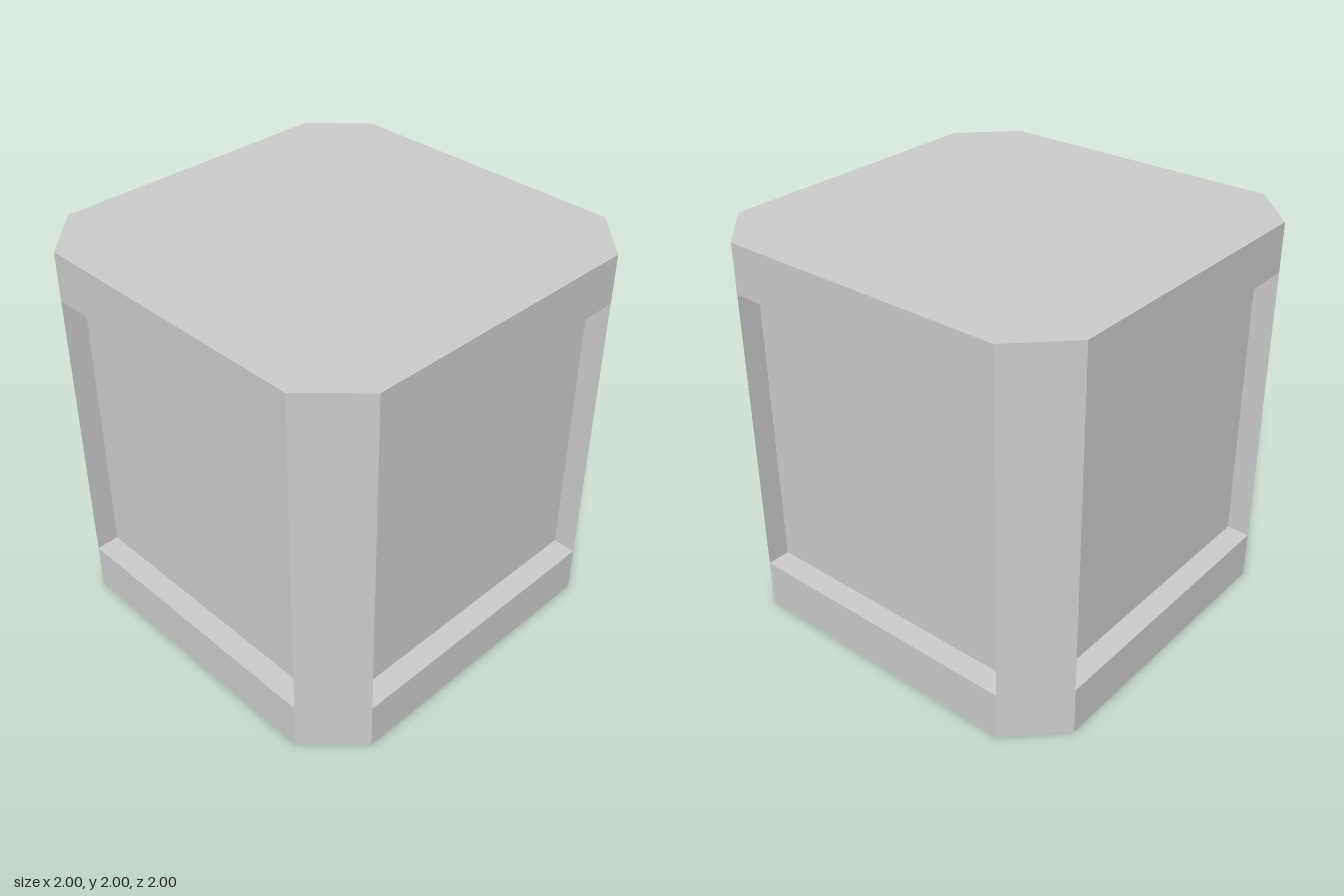
import * as THREE from 'three';

const HALF = 1;        // half of the block's width
const INNER = 0.75;    // half-width of the flat sides between chamfers
const RAIL = 0.25;     // height of the top and bottom rails
const DEPTH = 0.12;    // how far the side panels are sunk

export function createModel() {
  const model = new THREE.Group();
  model.name = 'panelledBlock';
  const grey = new THREE.MeshStandardMaterial({ color: 0xcccccc });
  grey.name = 'plain grey';

  const add = (parent, name, geometry) => {
    const mesh = new THREE.Mesh(geometry, grey);
    mesh.name = name;
    parent.add(mesh);
    return mesh;
  };

  // Octagonal lid and base
  const octagon = new THREE.Shape([
    [INNER, -HALF], [HALF, -INNER], [HALF, INNER], [INNER, HALF],
    [-INNER, HALF], [-HALF, INNER], [-HALF, -INNER], [-INNER, -HALF],
  ].map(([x, y]) => new THREE.Vector2(x, y)));
  add(model, 'lid', new THREE.ShapeGeometry(octagon).rotateX(-Math.PI / 2)).position.y = 2;
  add(model, 'base', new THREE.ShapeGeometry(octagon).rotateX(Math.PI / 2));

  const chamferWidth = (HALF - INNER) * Math.SQRT2;
  const chamferDistance = (HALF + INNER) / Math.SQRT2;
  const sides = ['front', 'left', 'back', 'right'];

  sides.forEach((label, i) => {
    const side = new THREE.Group();
    side.name = label + 'Side';
    side.rotation.y = i * Math.PI / 2;
    model.add(side);

    // Flat rails above and below the recess
    for (const [name, y] of [['bottomRail', RAIL / 2], ['topRail', 2 - RAIL / 2]]) {
      add(side, name, new THREE.PlaneGeometry(2 * INNER, RAIL)).position.set(0, y, HALF);
    }

    // Sunken panel
    add(side, 'panel', new THREE.PlaneGeometry(2 * INNER, 2 - 2 * RAIL))
      .position.set(0, 1, HALF - DEPTH);

    // Four inward-facing walls around the square recess
    for (let k = 0; k < 4; k++) {
      const wall = new THREE.PlaneGeometry(2 * INNER, DEPTH)
        .rotateX(-Math.PI / 2)
        .translate(0, -INNER, 0)
        .rotateZ(k * Math.PI / 2);
      add(side, 'recessWall', wall).position.set(0, 1, HALF - DEPTH / 2);
    }

    // Full-height chamfered corner post
    const post = new THREE.PlaneGeometry(chamferWidth, 2)
      .translate(0, 1, chamferDistance)
      .rotateY(Math.PI / 4);
    add(side, 'cornerPost', post);
  });

  return model;
}
